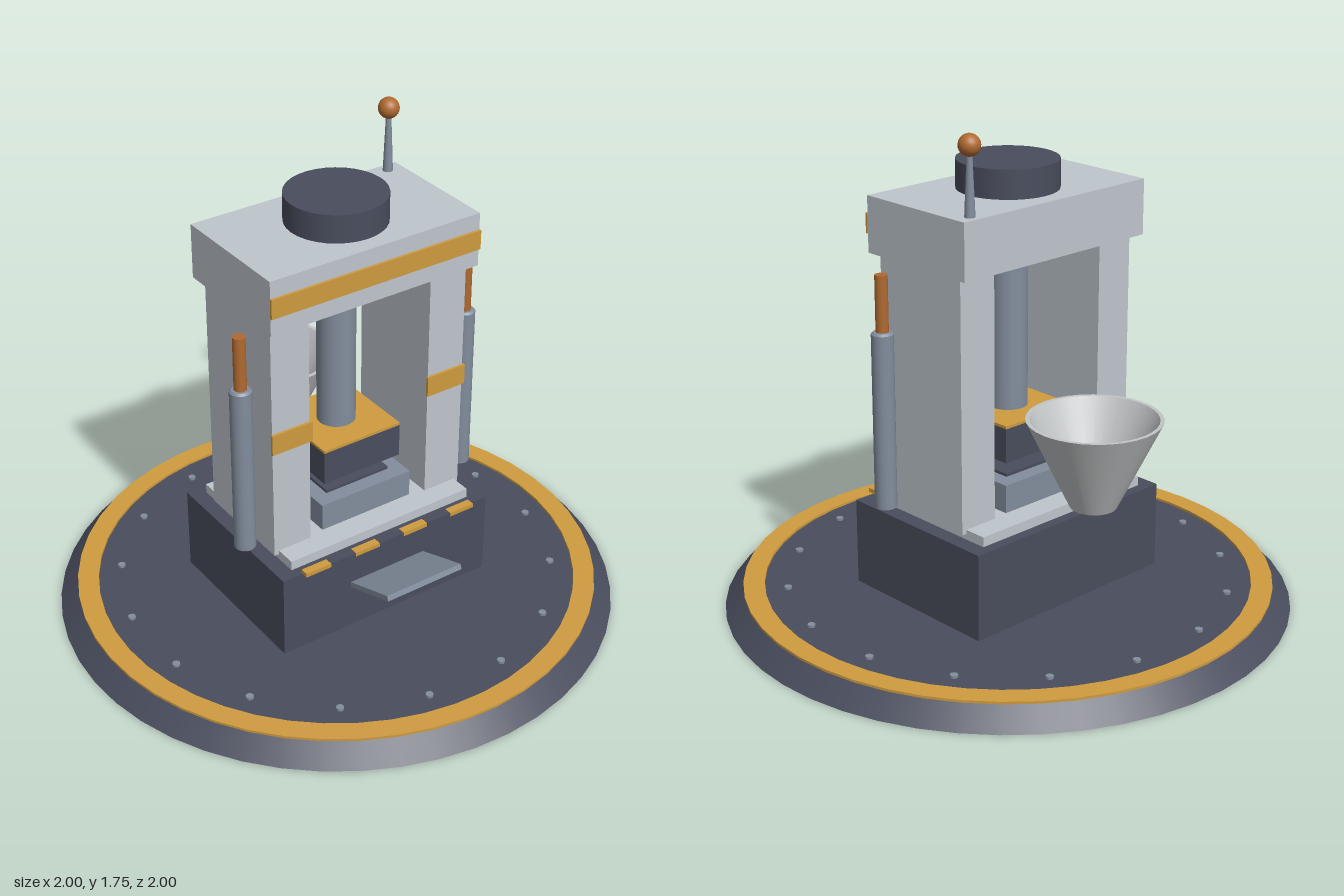
import * as THREE from 'three';

const mat = (name, color, side = THREE.FrontSide) => {
  const m = new THREE.MeshStandardMaterial({ color, side });
  m.name = name;
  return m;
};

export function createModel() {
  const dark = mat('dark slate', 0x494d5d);
  const gold = mat('safety gold', 0xcf9b40);
  const silver = mat('light steel', 0xbec5cc);
  const slate = mat('blue steel', 0x828d9c);
  const copper = mat('copper', 0xb06a30);
  const tin = mat('funnel tin', 0xc2c5c6, THREE.DoubleSide);

  const model = new THREE.Group();
  model.name = 'hydraulicPress';

  const add = (name, geometry, material, x = 0, y = 0, z = 0) => {
    const mesh = new THREE.Mesh(geometry, material);
    mesh.name = name;
    mesh.position.set(x, y, z);
    model.add(mesh);
    return mesh;
  };
  // Box and cylinder given by their bottom and top heights
  const box = (name, m, w, y0, y1, d, x = 0, z = 0) =>
    add(name, new THREE.BoxGeometry(w, y1 - y0, d), m, x, (y0 + y1) / 2, z);
  const cyl = (name, m, rTop, rBottom, y0, y1, x = 0, z = 0, sides = 32) =>
    add(name, new THREE.CylinderGeometry(rTop, rBottom, y1 - y0, sides), m, x, (y0 + y1) / 2, z);
  // Lathe with hard edges: each profile point is doubled by splitting into bands
  const bands = (name, m, points, x, z, sides) => {
    for (let i = 0; i < points.length - 1; i++) {
      const pair = [points[i], points[i + 1]].map(p => new THREE.Vector2(...p));
      add(name, new THREE.LatheGeometry(pair, sides), m, x, 0, z);
    }
  };

  // Round platform with gold ring and bolts
  cyl('platform', dark, 0.935, 1, 0, 0.07, 0, 0, 48);
  bands('platformRing', gold, [[0.86, 0.07], [0.935, 0.07], [0.935, 0.079], [0.86, 0.079], [0.86, 0.07]], 0, 0, 48);
  for (let i = 0; i < 16; i++) {
    const a = (i + 0.5) * Math.PI / 8;
    cyl('bolt', slate, 0.014, 0.014, 0.065, 0.079, Math.cos(a) * 0.78, Math.sin(a) * 0.78, 8);
  }

  // Plinth and bed
  box('plinth', dark, 0.86, 0.065, 0.38, 0.625);
  box('bedPlate', silver, 0.745, 0.38, 0.415, 0.55);

  // Hazard strip along the front edge
  for (let i = 0; i < 7; i++) {
    box('hazardBlock', i % 2 ? dark : gold, 0.1, 0.38, 0.395, 0.03, (i - 3) * 0.101, 0.322);
  }

  // Delivery chute sloping up from the plinth
  const chute = add('chute', new THREE.BoxGeometry(0.31, 0.02, 0.27), slate, 0, 0.278, 0.4);
  chute.rotation.x = -0.35;

  // Columns, bands and side pistons
  for (const s of [-1, 1]) {
    box('column', silver, 0.147, 0.4, 1.285, 0.39, s * 0.3165, 0.003);
    box('columnBand', gold, 0.158, 0.815, 0.89, 0.01, s * 0.316, 0.203);
    bands('pistonBarrel', slate, [[0, 0.42], [0.031, 0.42], [0.038, 0.427], [0.038, 1.043], [0.031, 1.05], [0, 1.05]],
      s * 0.456, 0.118, 20);
    cyl('pistonRod', copper, 0.022, 0.022, 1.04, 1.245, s * 0.456, 0.118, 16);
  }

  // Crosshead, stripe and cap
  box('crosshead', silver, 0.82, 1.285, 1.48, 0.47);
  box('crossheadStripe', gold, 0.822, 1.35, 1.42, 0.009, 0, 0.24);
  cyl('cap', dark, 0.175, 0.175, 1.48, 1.58);

  // Ram and its head
  cyl('ram', slate, 0.068, 0.068, 0.7, 1.29);
  box('ramHead', dark, 0.315, 0.58, 0.703, 0.315);
  box('ramHeadPlate', gold, 0.315, 0.703, 0.713, 0.315);

  // Lower die
  box('lowerDie', slate, 0.37, 0.41, 0.515, 0.37);
  box('dieInsert', dark, 0.26, 0.515, 0.525, 0.26);

  // Open feed funnel at the back
  bands('funnel', tin, [[0.062, 0.46], [0.08, 0.46], [0.23, 0.772], [0.216, 0.772], [0.056, 0.46]], 0, -0.415, 32);

  // Control lever
  cyl('leverRod', slate, 0.009, 0.018, 1.475, 1.69, 0.352, -0.198, 16);
  add('leverKnob', new THREE.SphereGeometry(0.037, 20, 14), copper, 0.352, 1.71, -0.198);

  return model;
}
